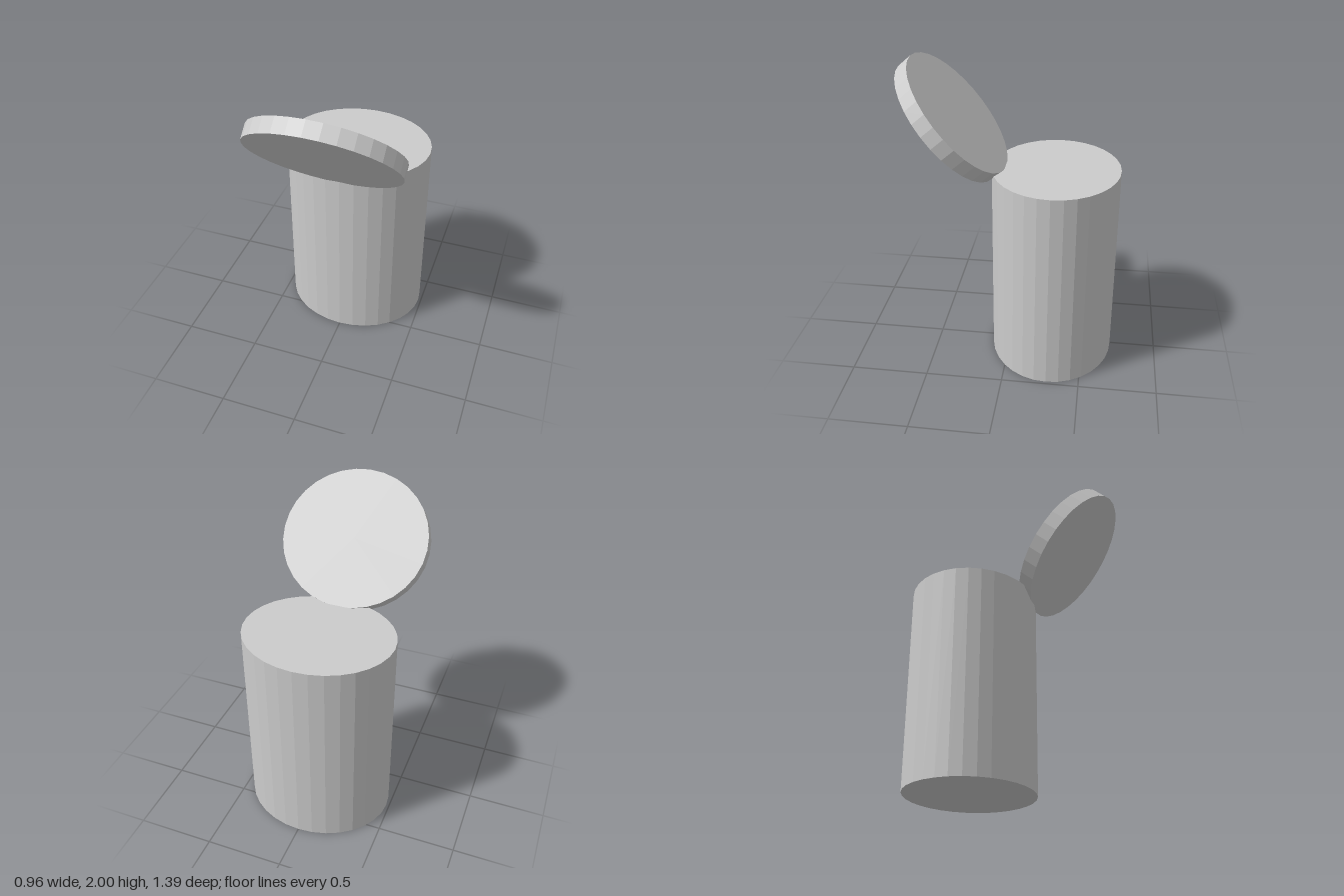
import * as THREE from 'three';

const SIDES = 32;
const material = new THREE.MeshStandardMaterial({ color: 0xcccccc, flatShading: true });

// Closed elliptical drum: half width rx, half depth rz
function drum(name, rx, rz, height) {
  const geometry = new THREE.CylinderGeometry(1, 1, height, SIDES);
  geometry.scale(rx, 1, rz);
  const mesh = new THREE.Mesh(geometry, material);
  mesh.name = name;
  return mesh;
}

export function createModel() {
  const group = new THREE.Group();
  group.name = 'lidded container';

  // Upright oval body
  const bodyHeight = 1.317;
  const body = drum('body', 0.48, 0.408, bodyHeight);
  body.position.set(0, bodyHeight / 2, -0.288);

  // Lid swung open, its lower edge sunk into the rim of the body
  const lid = drum('lid', 0.48, 0.452, 0.1);
  lid.rotation.x = THREE.MathUtils.degToRad(-49.5);
  lid.position.set(0, 1.624, 0.363);

  group.add(body, lid);
  return group;
}
